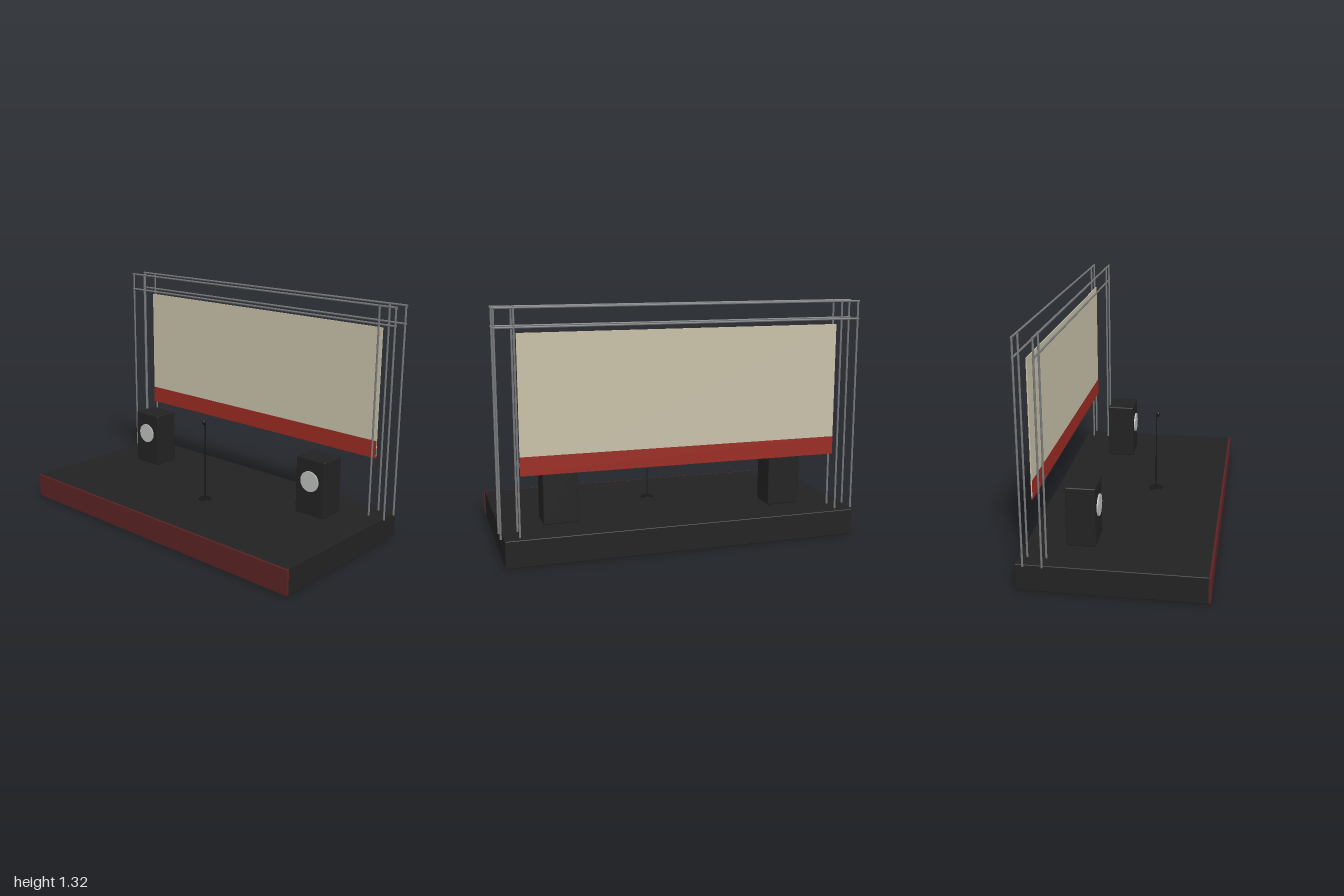
import * as THREE from 'three';
import { RoundedBoxGeometry } from 'three/addons/geometries/RoundedBoxGeometry.js';

const material = (name, color) => {
  const m = new THREE.MeshStandardMaterial({ color });
  m.name = name;
  return m;
};

export function createModel() {
  const black = material('black', 0x222222);
  const maroon = material('maroon', 0x5a2223);
  const cream = material('cream', 0xc8c0a8);
  const red = material('red', 0x9a2b23);
  const steel = material('steel', 0x77787a);
  const silver = material('silver', 0xbcbebc);
  const micBlack = material('microphone black', 0x18181a);

  const model = new THREE.Group();
  model.name = 'concertStage';

  const add = (name, geometry, mat, x, y, z, parent = model) => {
    const mesh = new THREE.Mesh(geometry, mat);
    mesh.name = name;
    mesh.position.set(x, y, z);
    parent.add(mesh);
    return mesh;
  };
  const group = (name) => {
    const g = new THREE.Group();
    g.name = name;
    model.add(g);
    return g;
  };

  // Platform and its front skirt
  add('platform', new RoundedBoxGeometry(1.955, 0.146, 0.977, 2, 0.004), black, 0, 0.073, -0.0045);
  add('frontSkirt', new THREE.BoxGeometry(1.966, 0.136, 0.014), maroon, 0, 0.075, 0.49);

  // Two rows of upright poles with double crossbars
  const truss = group('truss');
  const r = 0.0055;
  const bottom = 0.144, top = 1.324;
  for (const z of [-0.348, -0.447]) {
    for (const x of [-0.992, -0.894, 0.894, 0.992]) {
      add('truss post', new THREE.CylinderGeometry(r, r, top - bottom, 10), steel,
        x, (top + bottom) / 2, z, truss);
    }
    for (const y of [1.319, 1.222]) {
      const bar = add('truss crossbar', new THREE.CylinderGeometry(r, r, 2, 10), steel, 0, y, z, truss);
      bar.rotation.z = Math.PI / 2;
    }
  }

  // Hanging banner: cream cloth with a red lower band on both faces
  const banner = group('banner');
  add('bannerCloth', new THREE.BoxGeometry(1.76, 0.72, 0.006), cream, 0, 0.832, -0.414, banner);
  add('bannerHem', new THREE.BoxGeometry(1.76, 0.012, 0.008), red, 0, 0.466, -0.414, banner);
  for (const side of [1, -1]) {
    add('bannerBand', new THREE.BoxGeometry(1.76, 0.088, 0.001), red,
      0, 0.516, -0.414 + side * 0.0036, banner);
  }

  // Loudspeakers
  for (const side of [-1, 1]) {
    const speaker = group(side > 0 ? 'leftSpeaker' : 'rightSpeaker');
    speaker.position.set(side * 0.65, 0, -0.2);
    add('cabinet', new RoundedBoxGeometry(0.19, 0.328, 0.158, 2, 0.006), black, 0, 0.31, 0, speaker);
    const cone = add('speakerCone', new THREE.CylinderGeometry(0.059, 0.059, 0.012, 32), silver,
      0, 0.346, 0.081, speaker);
    cone.rotation.x = Math.PI / 2;
  }

  // Microphone on its stand
  const mic = group('microphone');
  mic.position.set(0.063, 0, 0.093);
  add('standBase', new THREE.CylinderGeometry(0.037, 0.038, 0.007, 20), micBlack, 0, 0.1485, 0, mic);
  add('standPole', new THREE.CylinderGeometry(0.0035, 0.0035, 0.456, 10), micBlack, 0, 0.376, 0, mic);
  const head = add('microphoneHead', new THREE.SphereGeometry(0.01, 16, 12), micBlack, 0, 0.612, 0.009, mic);
  head.scale.set(1, 1.6, 1);
  head.rotation.x = 0.15;

  return model;
}
